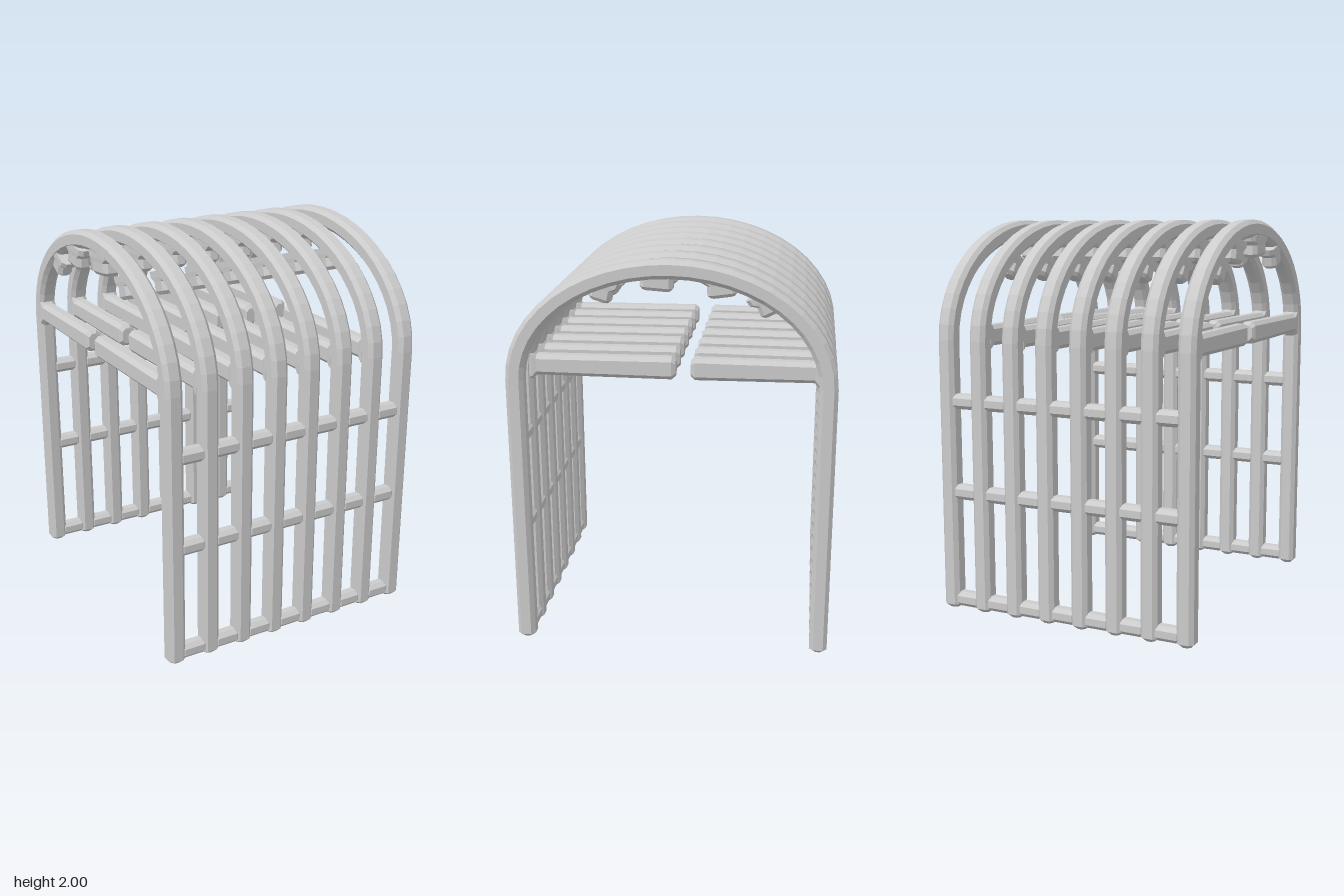
import * as THREE from 'three';

const X = new THREE.Vector3(1, 0, 0);
const Z = new THREE.Vector3(0, 0, 1);
const V = (x, y, z) => new THREE.Vector3(x, y, z);

// Chamfered bar lofted through stations { p: centre, t: direction, hu, hv: half sizes }
function loft(stations, u, chamfer = 0.02) {
  const pos = [], idx = [];
  for (const { p, t, hu, hv } of stations) {
    const v = t.clone().cross(u);
    const c = Math.min(chamfer, hu * 0.6, hv * 0.6);
    const a = hu - c, b = hv - c;
    const ring = [[hu, -b], [hu, b], [a, hv], [-a, hv], [-hu, b], [-hu, -b], [-a, -hv], [a, -hv]];
    for (const [du, dv] of ring) {
      const q = p.clone().addScaledVector(u, du).addScaledVector(v, dv);
      pos.push(q.x, q.y, q.z);
    }
  }
  const n = stations.length;
  for (let i = 0; i < n - 1; i++) {
    for (let j = 0; j < 8; j++) {
      const a = i * 8 + j, b = i * 8 + (j + 1) % 8;
      idx.push(a, b, a + 8, b, b + 8, a + 8);
    }
  }
  const last = (n - 1) * 8;
  for (let j = 1; j < 7; j++) idx.push(0, j + 1, j, last, last + j, last + j + 1);
  const g = new THREE.BufferGeometry();
  g.setAttribute('position', new THREE.Float32BufferAttribute(pos, 3));
  g.setIndex(idx);
  g.computeVertexNormals();
  return g;
}

// Straight bar: steps are [distance along t, half width u, half height v]
const straight = (start, t, u, steps) =>
  loft(steps.map(([d, hu, hv]) => ({ p: start.clone().addScaledVector(t, d), t, hu, hv })), u);

// Hoop: two legs joined by a half ellipse
function archGeometry() {
  const H = 0.045, E = 0.025, A = 0.755, B = 0.555, Y = 1.4, N = 24;
  const up = V(0, 1, 0), down = V(0, -1, 0);
  const s = [
    { p: V(0, 0, A), t: up, hu: E, hv: E },
    { p: V(0, 0.02, A), t: up, hu: H, hv: H },
  ];
  for (let i = 0; i <= N; i++) {
    const k = (i / N) * Math.PI;
    s.push({
      p: V(0, Y + B * Math.sin(k), A * Math.cos(k)),
      t: V(0, B * Math.cos(k), -A * Math.sin(k)).normalize(),
      hu: H, hv: H,
    });
  }
  s.push({ p: V(0, 0.02, -A), t: down, hu: H, hv: H }, { p: V(0, 0, -A), t: down, hu: E, hv: E });
  return loft(s, X);
}

// Inward arm with a flared foot at the leg
function armGeometry(side, length) {
  return straight(V(0, 1.425, side * 0.725), V(0, 0, -side), X, [
    [0, 0.043, 0.08], [0.015, 0.043, 0.075], [0.035, 0.04, 0.052],
    [length - 0.02, 0.04, 0.056], [length, 0.028, 0.04],
  ]);
}

// Block under the roof curve: tip position, tilt in degrees, half width
function pegGeometry([z, y, tilt, w]) {
  const r = THREE.MathUtils.degToRad(tilt);
  const t = V(0, -Math.cos(r), -Math.sin(r));
  return straight(V(0, y, z).addScaledVector(t, -0.115), t, X, [
    [0, 0.042, w + 0.03], [0.03, 0.042, w + 0.025], [0.052, 0.04, w - 0.004],
    [0.098, 0.04, w], [0.115, 0.028, w - 0.015],
  ]);
}

export function createModel() {
  const group = new THREE.Group();
  const material = new THREE.MeshStandardMaterial({ color: 0xcccccc, flatShading: true });
  const add = (name, geometry, x = 0, y = 0, z = 0) => {
    const m = new THREE.Mesh(geometry, material);
    m.name = name;
    m.position.set(x, y, z);
    group.add(m);
  };

  const COUNT = 8, STEP = 1.32 / (COUNT - 1);
  const arch = archGeometry();
  const frontArm = armGeometry(1, 0.732);
  const backArm = armGeometry(-1, 0.643);
  const pegs = [
    [0.369, 1.755, -17, 0.058], [0.087, 1.812, -4, 0.082],
    [-0.236, 1.787, 8, 0.073], [-0.475, 1.708, 28, 0.053],
  ].map(pegGeometry);
  // Short rail spanning the gap between two hoops
  const rail = straight(V(-0.07, 0, 0), X, Z, [
    [0, 0.026, 0.026], [0.016, 0.038, 0.038], [0.124, 0.038, 0.038], [0.14, 0.026, 0.026],
  ]);

  for (let i = 0; i < COUNT; i++) {
    const x = -0.66 + i * STEP;
    add('archHoop', arch, x);
    if (i === COUNT - 1) break; // the last hoop is plain
    add('frontArm', frontArm, x);
    add('backArm', backArm, x);
    for (const peg of pegs) add('roofPeg', peg, x);
    for (const y of [0.05, 0.62, 1.09]) {
      for (const side of [1, -1]) add('sideRail', rail, x + STEP / 2, y, side * 0.755);
    }
  }
  return group;
}
